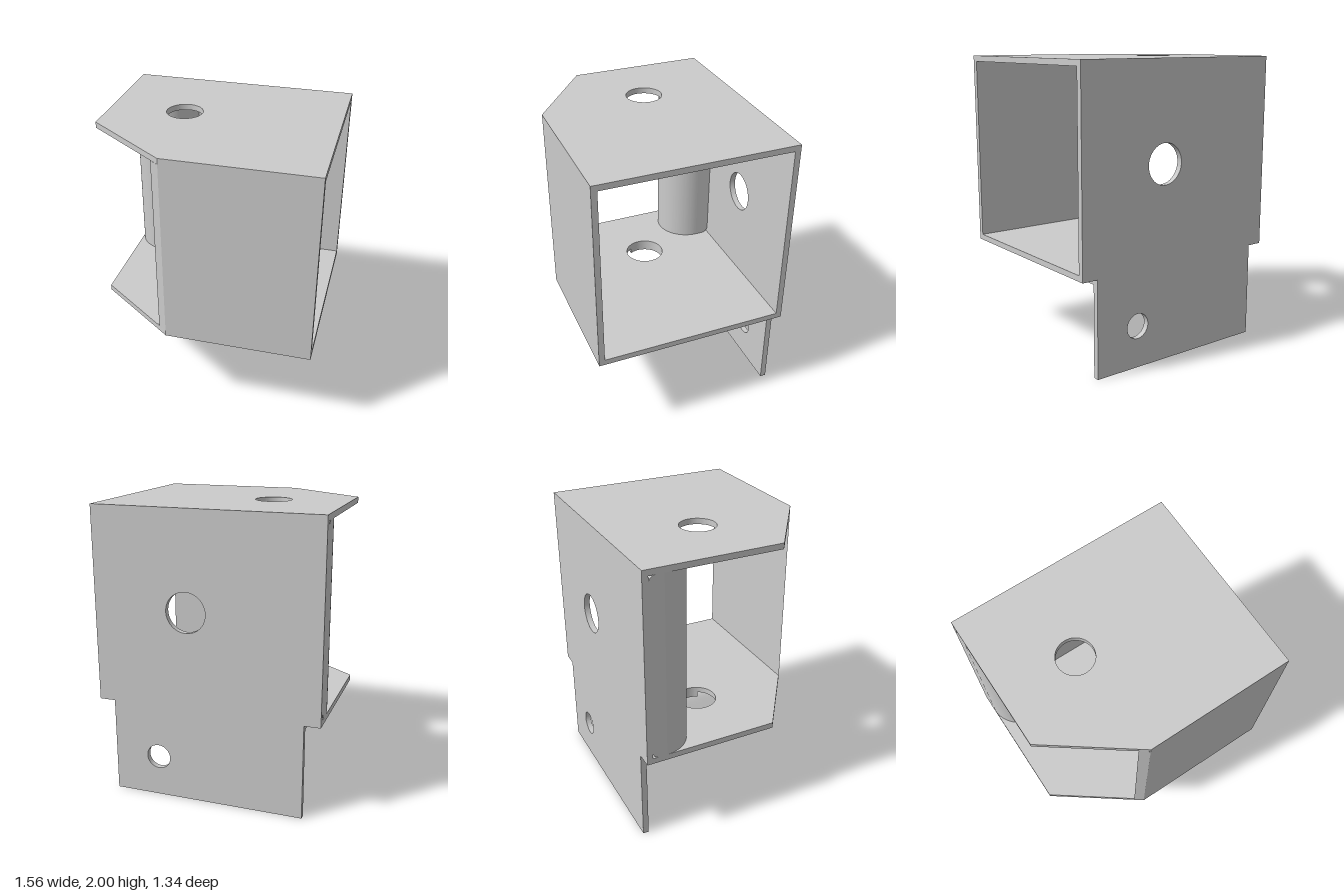
import * as THREE from 'three';
import { toCreasedNormals } from 'three/addons/utils/BufferGeometryUtils.js';

const T = 0.04; // sheet thickness
const W = 0.78, D = 0.67; // half width and half depth
const TOP = 2, BASE = 0.66; // outer heights of the box section

const outline = (points) => new THREE.Shape(points.map(([x, y]) => new THREE.Vector2(x, y)));

function drill(shape, x, y, r) {
  shape.holes.push(new THREE.Path().absarc(x, y, r, 0, Math.PI * 2, true));
  return shape;
}

const extrude = (shape, depth) =>
  toCreasedNormals(
    new THREE.ExtrudeGeometry(shape, { depth, bevelEnabled: false, curveSegments: 40 }), 0.5);

// Shape drawn in x and z, hanging down from height top
const slab = (shape, top, depth) => extrude(shape, depth).rotateX(Math.PI / 2).translate(0, top, 0);

export function createModel() {
  const model = new THREE.Group();
  const material = new THREE.MeshStandardMaterial({ color: 0xcccccc });
  const add = (name, geometry) => {
    const mesh = new THREE.Mesh(geometry, material);
    mesh.name = name;
    model.add(mesh);
  };

  // Top and bottom plates with one cut corner
  const plate = (r) => drill(
    outline([[-W, -D + T], [W, -D + T], [W, D], [-0.22, D], [-W, 0.26]]), -0.27, -0.06, r);
  add('topPlate', slab(plate(0.123), TOP, T));
  add('bottomPlate', slab(plate(0.137), BASE + T, T));

  // Front wall, its end mitred along the cut corner
  const front = outline([[-0.278, D - T], [W, D - T], [W, D], [-0.22, D]]);
  add('frontWall', slab(front, TOP - T, TOP - BASE - 2 * T));

  // Back wall running down into the narrower mounting tab
  const back = outline([
    [-0.67, 0], [0.67, 0], [0.67, BASE], [W, BASE], [W, TOP], [-W, TOP], [-W, BASE], [-0.67, BASE],
  ]);
  drill(back, 0.13, 1.33, 0.137);
  drill(back, 0.35, 0.285, 0.085);
  add('backWallAndTab', extrude(back, T).translate(0, 0, -D));

  // Shelf under the box, its front edge notched by the hole
  const edge = 0.01, r = 0.137, cx = -0.27, cz = -0.06;
  const a = Math.asin((edge - cz) / r);
  const shelf = outline([[-0.67, edge], [-0.67, -D + T], [0.67, -D + T], [0.67, edge]]);
  shelf.absarc(cx, cz, r, a, Math.PI - a, true);
  add('shelf', slab(shelf, BASE, T));

  // Rounded post: half-round sheet on two flat legs
  const px = -0.56, pz = -0.53, R = 0.22;
  const low = BASE + T, high = TOP - T;
  const half = new THREE.Shape();
  half.absarc(px, pz, R, 0, Math.PI, false);
  half.absarc(px, pz, R - T, Math.PI, 0, true);
  add('postCurve', slab(half, high, high - low));

  // Legs with rounded corners where they meet the back wall
  const z0 = -D + T, c = 0.045;
  const leg = new THREE.Shape();
  leg.moveTo(pz, low);
  leg.lineTo(pz, high);
  leg.lineTo(z0 + c, high);
  leg.absarc(z0 + c, high - c, c, Math.PI / 2, Math.PI, false);
  leg.lineTo(z0, low + c);
  leg.absarc(z0 + c, low + c, c, Math.PI, Math.PI * 1.5, false);
  for (const [name, x] of [['postLeftLeg', px + R], ['postRightLeg', px - R + T]]) {
    add(name, extrude(leg, T).rotateY(-Math.PI / 2).translate(x, 0, 0));
  }

  return model;
}
